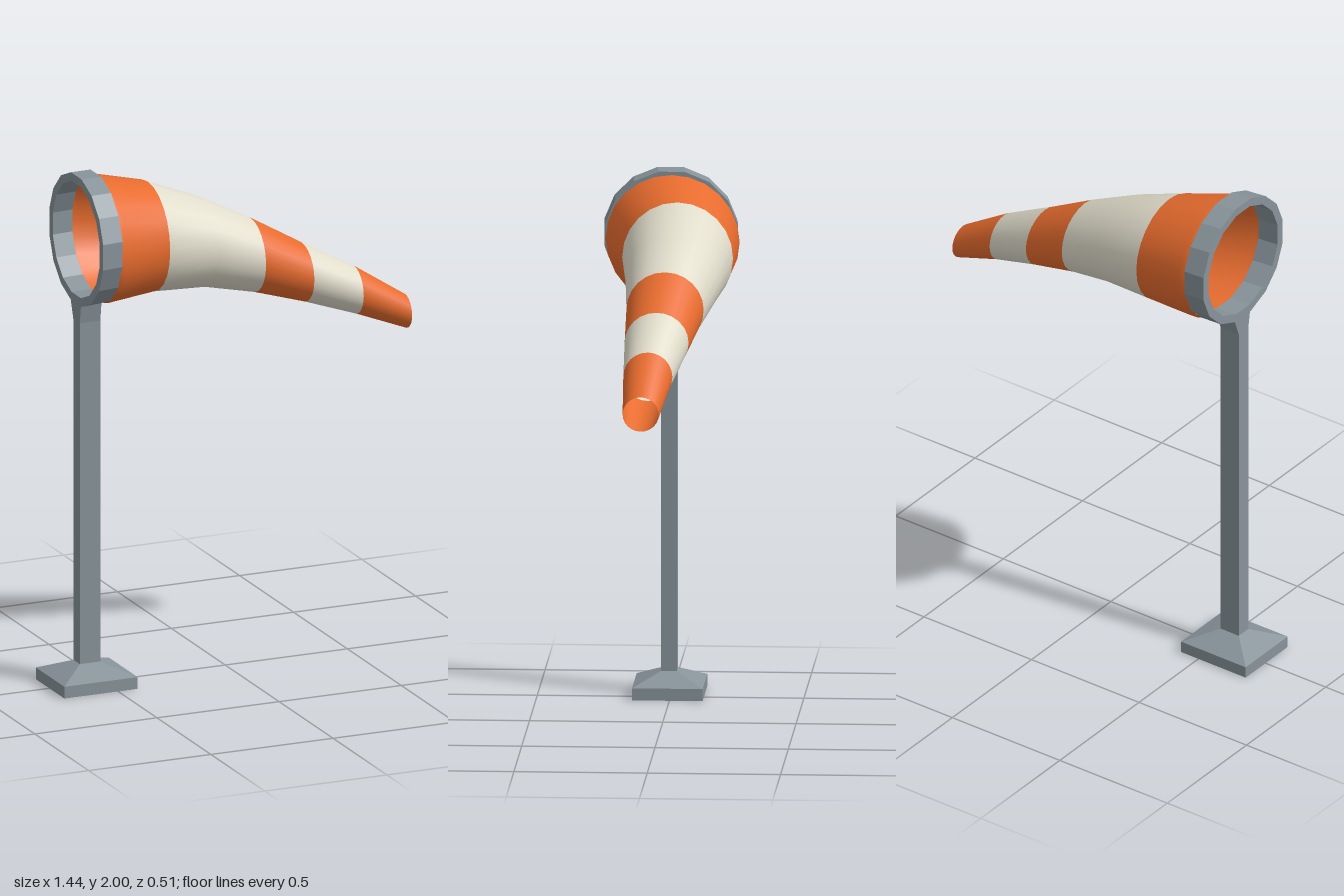
import * as THREE from 'three';

// Skins a list of closed point loops; bands gives a material index per span
function loft(rings, flat, bands) {
  const n = rings[0].length, pos = [], index = [];
  rings.forEach(r => r.forEach(p => pos.push(...p)));
  let geo = new THREE.BufferGeometry();
  for (let i = 0; i < rings.length - 1; i++) {
    if (bands) geo.addGroup(index.length, n * 6, bands[i]);
    for (let j = 0; j < n; j++) {
      const a = i * n + j, b = i * n + (j + 1) % n, c = a + n, d = b + n;
      index.push(a, b, c, b, d, c);
    }
  }
  geo.setAttribute('position', new THREE.Float32BufferAttribute(pos, 3));
  geo.setIndex(index);
  if (flat) geo = geo.toNonIndexed();
  geo.computeVertexNormals();
  return geo;
}

// Elliptical loop in a plane of constant x
function ellipse(x, cy, cz, ry, rz, n, phase = 0) {
  return Array.from({ length: n }, (_, j) => {
    const t = (j + phase) / n * Math.PI * 2;
    return [x, cy + ry * Math.cos(t), cz + rz * Math.sin(t)];
  });
}

// Rectangular loop in a plane of constant y
const rect = (y, x0, x1, z0, z1) => [[x1, y, z1], [x1, y, z0], [x0, y, z0], [x0, y, z1]];

export function createModel() {
  const mat = (name, color, side = THREE.FrontSide) => {
    const m = new THREE.MeshStandardMaterial({ color, side });
    m.name = name;
    return m;
  };
  const metal = mat('greyMetal', 0x87939a);
  const orange = mat('orangeFabric', 0xe86c2e, THREE.DoubleSide);
  const cream = mat('creamFabric', 0xe0dccb, THREE.DoubleSide);

  const group = new THREE.Group();
  group.name = 'windsock';
  const add = (name, geo, material) => {
    const mesh = new THREE.Mesh(geo, material);
    mesh.name = name;
    group.add(mesh);
  };

  // Square foot with a sloping top
  add('base', loft([
    rect(0, -0.57, -0.57, 0.01, 0.01),
    rect(0, -0.72, -0.42, -0.125, 0.14),
    rect(0.046, -0.72, -0.42, -0.125, 0.14),
    rect(0.092, -0.612, -0.528, -0.022, 0.038),
  ], true), metal);

  // Pole, flaring to meet the lowest facet of the hoop
  add('pole', loft([
    rect(0.09, -0.612, -0.528, -0.022, 0.038),
    rect(1.43, -0.612, -0.528, -0.022, 0.038),
    rect(1.51, -0.612, -0.528, -0.05, 0.05),
  ], true), metal);

  // Faceted hoop, its mouth slightly skewed
  const hoop = (x, r, cz) => ellipse(x, 1.749, cz, r, r, 16, 0.5);
  add('hoop', loft([
    hoop(-0.612, 0.255, 0.005), hoop(-0.528, 0.253, -0.003),
    hoop(-0.528, 0.222, -0.003), hoop(-0.612, 0.222, 0.005),
    hoop(-0.612, 0.255, 0.005),
  ], true), metal);

  // Drooping fabric tube: x, top, bottom, back, front
  const sections = [
    [-0.53, 1.985, 1.499, -0.252, 0.246],
    [-0.505, 1.981, 1.492, -0.259, 0.24],
    [-0.3, 1.925, 1.502, -0.246, 0.17],
    [-0.09, 1.84, 1.494, -0.21, 0.145],
    [0.11, 1.738, 1.452, -0.16, 0.13],
    [0.31, 1.622, 1.394, -0.115, 0.125],
    [0.515, 1.51, 1.325, -0.066, 0.118],
    [0.717, 1.378, 1.247, -0.027, 0.109],
  ];
  const rings = sections.map(([x, t, b, z0, z1]) =>
    ellipse(x, (t + b) / 2, (z0 + z1) / 2, (t - b) / 2, (z1 - z0) / 2, 24));
  add('sock', loft(rings, false, [0, 0, 1, 1, 0, 1, 0]), [orange, cream]);

  return group;
}
